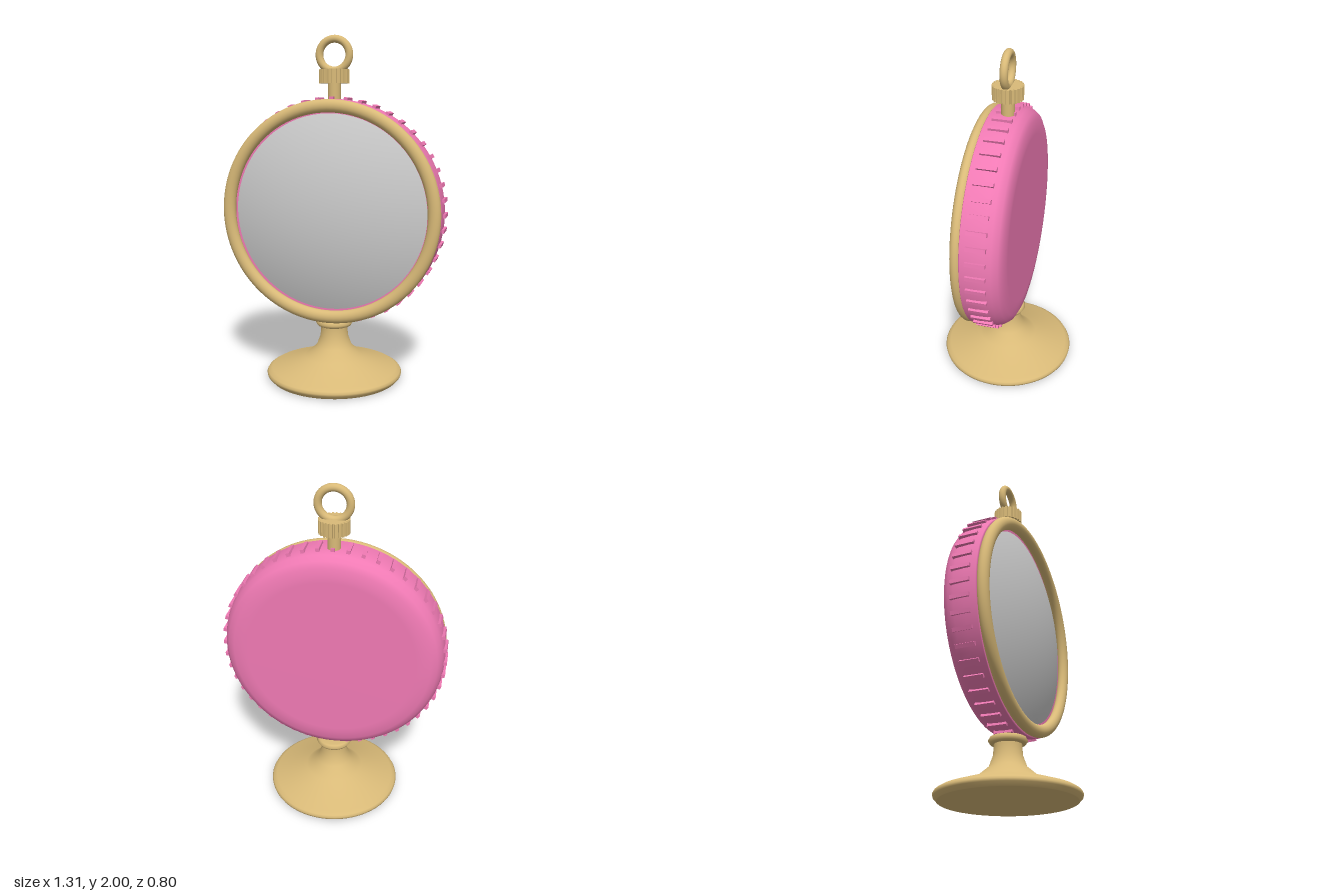
import * as THREE from 'three';

const gold = new THREE.MeshStandardMaterial({ color: 0xd9ba78 });
const pink = new THREE.MeshStandardMaterial({ color: 0xf07ab4 });
const grey = new THREE.MeshStandardMaterial({ color: 0xcccccc });

const CENTRE_Y = 1;

function lathe(points, segments = 64) {
  return new THREE.LatheGeometry(points.map(([r, y]) => new THREE.Vector2(r, y)), segments);
}

export function createModel() {
  const model = new THREE.Group();
  model.name = 'standingRoundMirror';

  const add = (name, geometry, material, parent = model) => {
    const mesh = new THREE.Mesh(geometry, material);
    mesh.name = name;
    parent.add(mesh);
    return mesh;
  };

  // Flared foot with a slim neck
  add('foot', lathe([
    [0, 0], [0.374, 0], [0.378, 0.002], [0.397, 0.022], [0.4, 0.035], [0.393, 0.048], [0.37, 0.062],
    [0.175, 0.127], [0.105, 0.187], [0.082, 0.25], [0.078, 0.3], [0.078, 0.345],
  ]), gold);

  // Rounded collar between neck and case
  add('collar', lathe([
    [0, 0.312], [0.088, 0.312], [0.1, 0.317], [0.109, 0.333], [0.1, 0.35], [0.088, 0.355], [0, 0.355],
  ], 48), gold);

  // Disc-shaped head, built around its own centre and facing +z
  const head = new THREE.Group();
  head.name = 'head';
  head.position.y = CENTRE_Y;
  model.add(head);

  // Case with a softly rounded back
  add('case', lathe([
    [0, -0.125], [0.49, -0.125], [0.52, -0.124], [0.57, -0.117], [0.605, -0.1], [0.628, -0.068],
    [0.64, -0.03], [0.643, 0.03], [0.64, 0.097], [0.637, 0.1], [0.63, 0.1], [0, 0.1],
  ], 96).rotateX(Math.PI / 2), pink, head);

  // Bezel around the front
  const bezel = add('bezel', new THREE.TorusGeometry(0.604, 0.037, 20, 96), gold, head);
  bezel.position.z = 0.124;
  bezel.scale.z = 0.87;

  // Domed glass: a shallow cap of a large sphere
  const domeRadius = 1.53, rim = 0.562;
  const glass = add('glass', new THREE.SphereGeometry(
    domeRadius, 72, 12, 0, Math.PI * 2, 0, Math.asin(rim / domeRadius)
  ).rotateX(Math.PI / 2), grey, head);
  glass.position.z = 0.21 - domeRadius;

  // Grip ridges around the case
  const ridges = new THREE.Group();
  ridges.name = 'gripRidges';
  head.add(ridges);
  const ridgeCount = 48;
  const ridgeGeometry = new THREE.BoxGeometry(0.035, 0.022, 0.11).translate(0.638, 0, 0.01);
  for (let i = 0; i < ridgeCount; i++) {
    add('ridge', ridgeGeometry, pink, ridges).rotation.z = (i / ridgeCount) * Math.PI * 2;
  }

  // Stem and toothed crown on top
  const stem = add('stem', new THREE.CylinderGeometry(0.037, 0.037, 0.12, 32), gold);
  stem.position.y = 1.68;

  const teeth = 24, crownShape = new THREE.Shape();
  for (let i = 0; i < teeth; i++) {
    [[-0.34, 0.076], [-0.24, 0.086], [0.24, 0.086], [0.34, 0.076]].forEach(([offset, r], j) => {
      const a = ((i + offset) / teeth) * Math.PI * 2;
      const x = r * Math.cos(a), y = r * Math.sin(a);
      if (i === 0 && j === 0) crownShape.moveTo(x, y);
      else crownShape.lineTo(x, y);
    });
  }
  crownShape.closePath();
  const crown = add('crown', new THREE.ExtrudeGeometry(crownShape, { depth: 0.078, bevelEnabled: false })
    .rotateX(-Math.PI / 2), gold);
  crown.position.y = 1.73;

  // Hanging ring
  const ring = add('hangingRing', new THREE.TorusGeometry(0.088, 0.022, 20, 64), gold);
  ring.position.y = 1.89;

  return model;
}
